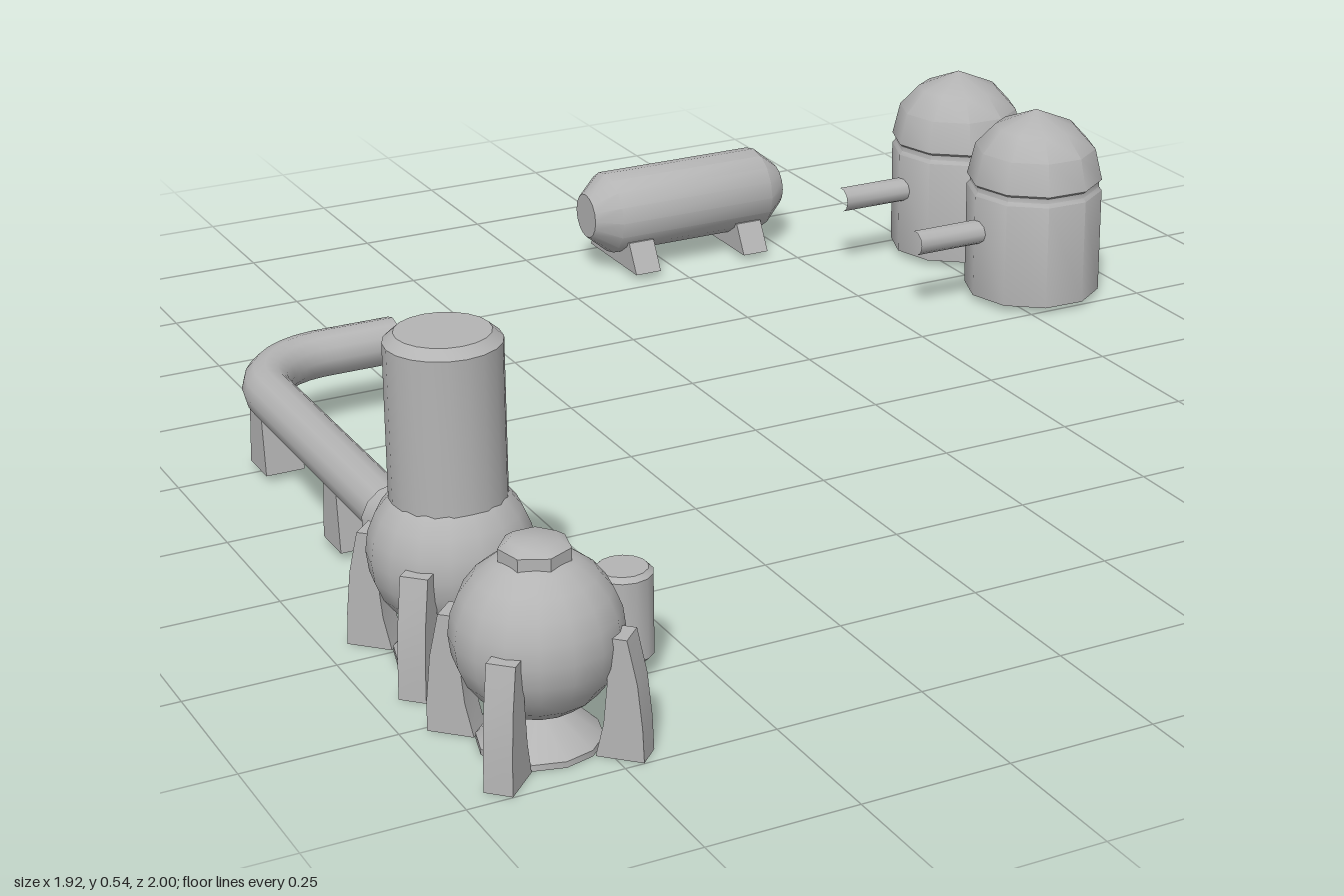
import * as THREE from 'three';
import { toCreasedNormals } from 'three/addons/utils/BufferGeometryUtils.js';

const grey = new THREE.MeshStandardMaterial({ color: 0xb4b4b4 });
grey.name = 'plain grey';

function add(parent, name, geometry, x = 0, y = 0, z = 0, crease = 0.72) {
  const mesh = new THREE.Mesh(toCreasedNormals(geometry, crease), grey);
  mesh.name = name;
  mesh.position.set(x, y, z);
  parent.add(mesh);
  return mesh;
}

// Turned solid from [radius, height] pairs, bottom to top
const turned = (profile, sides, start = 0) =>
  new THREE.LatheGeometry(profile.map(([r, y]) => new THREE.Vector2(r, y)), sides, start);

// Outline extruded and centred on its thickness
function plate(points, depth) {
  const shape = new THREE.Shape(points.map(([x, y]) => new THREE.Vector2(x, y)));
  return new THREE.ExtrudeGeometry(shape, { depth, bevelEnabled: false }).translate(0, 0, -depth / 2);
}

// Round vessel on a flared foot with four curved fins
function vessel(parent, name, x, z) {
  const g = new THREE.Group();
  g.name = name;
  g.position.set(x, 0, z);
  parent.add(g);
  add(g, 'vesselBody', new THREE.SphereGeometry(0.13, 16, 12), 0, 0.185, 0);
  add(g, 'flaredFoot', turned([[0, 0.005], [0.095, 0.005], [0.095, 0.015], [0.035, 0.075], [0, 0.075]], 12));
  const fin = [[0.095, 0.005], [0.17, 0.005], [0.168, 0.06], [0.161, 0.13], [0.146, 0.2],
    [0.11, 0.2], [0.115, 0.13], [0.108, 0.06]];
  for (let i = 0; i < 4; i++) {
    add(g, 'supportFin', plate(fin, 0.045)).rotation.y = Math.PI / 4 + i * Math.PI / 2;
  }
  return g;
}

export function createModel() {
  const model = new THREE.Group();
  model.name = 'processingPlant';
  const px = -0.823, py = 0.143;

  // Front vessel with top hatch and side bulge
  const front = vessel(model, 'frontVessel', px, 0.863);
  add(front, 'topHatch', turned([[0.055, 0.29], [0.055, 0.322], [0.04, 0.332], [0, 0.332]], 7));
  add(front, 'sideBulge', new THREE.SphereGeometry(0.06, 12, 8), 0.078, 0.135, 0);

  // Rear vessel with tower
  const rear = vessel(model, 'rearVessel', px, 0.545);
  add(rear, 'tower', turned([[0.092, 0.22], [0.092, 0.528], [0.075, 0.543], [0, 0.543]], 20));

  // Small canister
  add(model, 'canister', turned([[0, 0.035], [0.04, 0.035], [0.048, 0.043], [0.048, 0.177],
    [0.04, 0.185], [0, 0.185]], 14), -0.62, 0, 0.73);

  // Links between the vessels and to the collar
  add(model, 'vesselLink', new THREE.CylinderGeometry(0.038, 0.038, 0.2, 12, 1, true).rotateX(Math.PI / 2), px, py, 0.7);
  add(model, 'collarLink', new THREE.CylinderGeometry(0.04, 0.04, 0.1, 12, 1, true).rotateX(Math.PI / 2), px, py, 0.41);
  add(model, 'pipeCollar', turned([[0.038, -0.037], [0.047, -0.037], [0.058, -0.025], [0.058, 0.025],
    [0.047, 0.037], [0.038, 0.037]], 14).rotateX(Math.PI / 2), px, py, 0.342);

  // Long pipe with a quarter bend
  const bend = 0.15, zEnd = -0.395;
  const path = new THREE.CurvePath();
  const at = (x, z) => new THREE.Vector3(x, py, z);
  path.add(new THREE.LineCurve3(at(px, 0.33), at(px, zEnd + bend)));
  path.add(new THREE.CubicBezierCurve3(at(px, zEnd + bend), at(px, zEnd + bend * 0.448),
    at(px + bend * 0.448, zEnd), at(px + bend, zEnd)));
  path.add(new THREE.LineCurve3(at(px + bend, zEnd), at(-0.535, zEnd)));
  add(model, 'longPipe', new THREE.TubeGeometry(path, 32, 0.043, 12, false));

  // Tapered pipe supports
  for (const z of [0.117, -0.235]) {
    add(model, 'pipeSupport', plate([[-0.039, 0.018], [0.039, 0.018], [0.027, 0.135], [-0.027, 0.135]], 0.07),
      px, 0, z).rotation.y = Math.PI / 2;
  }

  // Two domed tanks with outlet pipes
  for (const z of [-0.365, -0.657]) {
    const tank = new THREE.Group();
    tank.name = 'domedTank';
    tank.position.set(0.822, 0, z);
    model.add(tank);
    add(tank, 'tankBody', turned([[0, 0.017], [0.134, 0.017], [0.134, 0.225], [0.128, 0.232], [0.128, 0.242],
      [0.134, 0.247]], 10, 0.28));
    add(tank, 'tankDome', turned([[0.134, 0.247], [0.119, 0.31], [0.08, 0.352], [0, 0.386]], 10, 0.28));
    add(tank, 'outletPipe', new THREE.CylinderGeometry(0.024, 0.024, 0.16, 10, 1, true).rotateZ(Math.PI / 2),
      -0.192, 0.152, 0);
  }

  // Horizontal tank on two saddles
  add(model, 'horizontalTank', turned([[0, -0.215], [0.045, -0.215], [0.083, -0.17], [0.083, 0.17],
    [0.045, 0.215], [0, 0.215]], 16).rotateZ(Math.PI / 2), 0.3, 0.123, -0.887);
  for (const x of [0.175, 0.421]) {
    add(model, 'tankSaddle', plate([[-0.107, 0.017], [0.107, 0.017], [0.075, 0.075], [-0.075, 0.075]], 0.055),
      x, 0, -0.892).rotation.y = Math.PI / 2;
  }
  return model;
}
